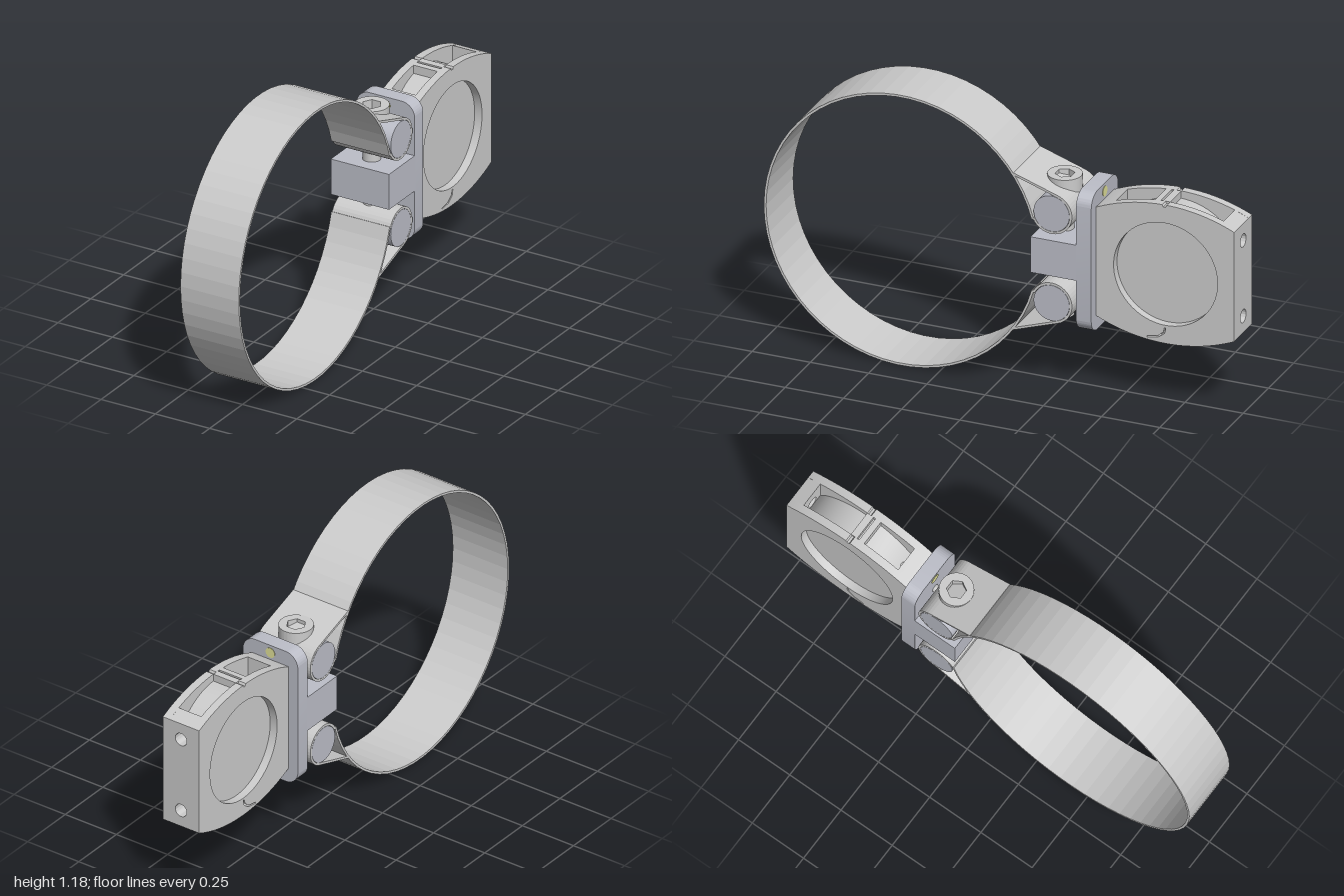
import * as THREE from 'three';
import { toCreasedNormals } from 'three/addons/utils/BufferGeometryUtils.js';

const CY = 0.59;            // height of the symmetry plane
const HZ = -0.705;          // centre of the clamp bore
const V = (x, y) => new THREE.Vector2(x, y);
const flip = (p) => V(p.x, 2 * CY - p.y);
const grey = new THREE.MeshStandardMaterial({ color: 0xcccccc });
const steel = new THREE.MeshStandardMaterial({ color: 0xbcbec8 });
const yellow = new THREE.MeshStandardMaterial({ color: 0xe2e29a });

function arc(cx, cy, r, fromDeg, toDeg, n) {
  return Array.from({ length: n + 1 }, (_, i) => {
    const a = THREE.MathUtils.degToRad(fromDeg + (toDeg - fromDeg) * i / n);
    return V(cx + r * Math.cos(a), cy + r * Math.sin(a));
  });
}

function extrude(shape, depth) {
  const g = new THREE.ExtrudeGeometry(shape, { depth, bevelEnabled: false, curveSegments: 40 });
  return g.translate(0, 0, -depth / 2);
}

// Profile drawn in (z, y), extruded across x
const across = (shape, width) => extrude(shape, width).rotateY(-Math.PI / 2);

// Thin closed outline following a path
function ribbon(pts, t) {
  const side = (s) => pts.map((p, i) => {
    const a = pts[Math.max(i - 1, 0)], b = pts[Math.min(i + 1, pts.length - 1)];
    const d = b.clone().sub(a).normalize();
    return V(p.x - d.y * s * t / 2, p.y + d.x * s * t / 2);
  });
  return new THREE.Shape([...side(1), ...side(-1).reverse()]);
}

function circleHole(x, y, r) {
  return new THREE.Path().absarc(x, y, r, 0, Math.PI * 2, true);
}

export function createModel() {
  const model = new THREE.Group();
  const add = (name, geo, mat = grey, parent = model) => {
    const m = new THREE.Mesh(geo, mat);
    m.name = name;
    parent.add(m);
    return m;
  };
  const smooth = (g) => toCreasedNormals(g, 0.5);
  const rod = (r, len, axis, x, y, z) => {
    const g = new THREE.CylinderGeometry(r, r, len, 32);
    if (axis === 'x') g.rotateZ(Math.PI / 2);
    if (axis === 'z') g.rotateX(Math.PI / 2);
    return g.translate(x, y, z);
  };

  // Strap: large faceted hoop with an end loop around each pin
  const W = 0.268, PZ = -0.235, PY = 0.785;
  const hoop = arc(0.41, CY, 0.585, 164.5, -164.5, 56);
  add('strapHoop', across(ribbon(hoop, 0.01), W));
  const loop = [hoop[0], ...arc(PZ, PY, 0.083, -25, -252, 24), V(-0.07, 0.928)];
  add('upperStrapLoop', across(ribbon(loop, 0.01), W));
  add('lowerStrapLoop', across(ribbon(loop.map(flip), 0.01), W));
  for (const [name, y] of [['upperPin', PY], ['lowerPin', 2 * CY - PY]])
    add(name, rod(0.077, W, 'x', 0, y, PZ), steel);

  // Tightening bolt with a hexagon socket
  const bolt = new THREE.Group();
  bolt.name = 'tighteningBolt';
  model.add(bolt);
  add('boltShank', rod(0.037, 0.54, 'y', 0, 0.56, PZ), grey, bolt);
  add('boltHead', rod(0.07, 0.07, 'y', 0, 0.82, PZ), grey, bolt);
  const rim = new THREE.Shape().absarc(0, 0, 0.07, 0, Math.PI * 2);
  rim.holes.push(new THREE.Path(arc(0, 0, 0.04, 360, 0, 6)));
  add('boltSocket', smooth(extrude(rim, 0.05).rotateX(-Math.PI / 2).translate(0, 0.88, PZ)), grey, bolt);

  // T bracket: stem between the pins and a rounded plate
  add('bracketStem', new THREE.BoxGeometry(W, 0.155, 0.2).translate(0, CY, -0.245), steel);
  const plate = new THREE.Shape(), px = W / 2, py = 0.302, r = 0.06;
  plate.absarc(px - r, py - r, r, 0, Math.PI / 2);
  plate.absarc(-px + r, py - r, r, Math.PI / 2, Math.PI);
  plate.absarc(-px + r, -py + r, r, Math.PI, Math.PI * 1.5);
  plate.absarc(px - r, -py + r, r, Math.PI * 1.5, Math.PI * 2);
  add('bracketPlate', smooth(extrude(plate, 0.065).translate(0, CY, -0.373)), steel);

  // Clamp outline: shallow arcs above and below a round bore
  const R = 0.713;
  const topY = (z) => CY + 0.302 - R + Math.sqrt(R * R - (z - HZ) ** 2);
  const span = (a, b, n, f) => Array.from({ length: n + 1 }, (_, i) => {
    const z = a + (b - a) * i / n;
    return V(z, f(z));
  });
  const mirrored = (top) => new THREE.Shape([...top, ...top.map(flip).reverse()]);

  // Clamp cheeks, with the parting notch on top and the curved seam below
  const cheek = new THREE.Shape([
    ...span(-0.405, -0.69, 16, topY), V(-0.695, 0.882), V(-0.705, 0.882), ...span(-0.71, -1, 16, topY),
    ...span(-0.405, -1, 32, topY).map(flip).reverse()]);
  cheek.holes.push(circleHole(HZ, CY, 0.223));
  cheek.holes.push(new THREE.Path([V(-0.625, 0.308), V(-0.67, 0.315), V(-0.695, 0.335), V(-0.70, 0.356),
    V(-0.706, 0.356), V(-0.701, 0.331), V(-0.672, 0.309), V(-0.625, 0.302)]));
  for (const s of [-1, 1])
    add(s > 0 ? 'leftClampCheek' : 'rightClampCheek',
      smooth(across(cheek, 0.034).translate(s * 0.072, 0, 0)));

  // Clamp core: pockets open above and below, shallow groove inside the bore
  const floorY = (z) => CY + Math.sqrt(0.27 ** 2 - (z - HZ) ** 2);
  const core = mirrored([
    ...span(-0.405, -0.48, 4, topY), ...span(-0.48, -0.645, 8, floorY),
    ...span(-0.645, -0.67, 2, topY), V(-0.67, 0.87), V(-0.68, 0.87),
    ...span(-0.68, -0.71, 2, topY), ...span(-0.71, -0.94, 12, floorY)]);
  core.holes.push(circleHole(HZ, CY, 0.245));
  add('clampCore', smooth(across(core, 0.11)));

  // Clamp end wall with two access holes, its edges following the outline
  const h = topY(-1) - CY;
  const wall = new THREE.Shape([V(-0.055, -h), V(0.055, -h), V(0.055, h), V(-0.055, h)]);
  for (const s of [-1, 1]) wall.holes.push(circleHole(0, s * 0.165, 0.028));
  const wallGeo = extrude(wall, 0.06);
  const pos = wallGeo.attributes.position;
  for (let i = 0; i < pos.count; i++)
    if (pos.getZ(i) > 0 && Math.abs(pos.getY(i)) > 0.22)
      pos.setY(i, Math.sign(pos.getY(i)) * (topY(-0.94) - CY));
  wallGeo.computeVertexNormals();
  add('clampEndWall', smooth(wallGeo.translate(0, CY, -0.97)));

  // Fixing screws through the plate and small locating pins
  for (const s of [-1, 1]) {
    const tag = s > 0 ? 'upper' : 'lower', y = CY + s * 0.163;
    add(tag + 'FixingScrewTip', rod(0.017, 0.2, 'z', 0, y, -0.428));
    const head = new THREE.Shape().absarc(0, 0, 0.03, 0, Math.PI * 2);
    head.holes.push(new THREE.Path(arc(0, 0, 0.015, 360, 0, 6)));
    add(tag + 'FixingScrewHead', smooth(extrude(head, 0.03).translate(0, y, -0.535)));
    add(tag + 'LocatingPin', rod(0.022, 0.069, 'z', 0, CY + s * 0.268, -0.373), yellow);
  }
  return model;
}
